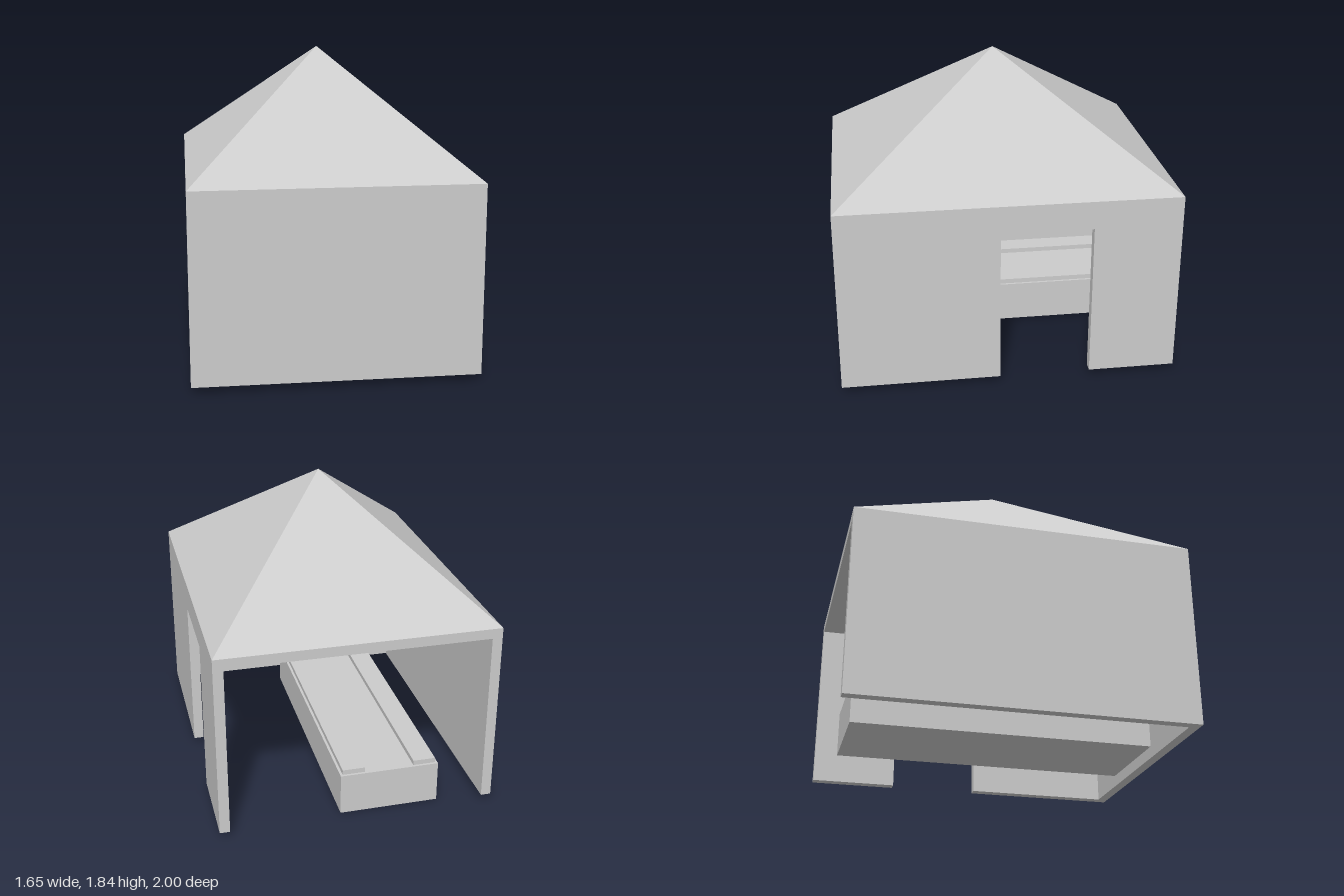
import * as THREE from 'three';

export function createModel() {
  const model = new THREE.Group();
  const material = new THREE.MeshStandardMaterial({ color: 0xcccccc, flatShading: true });

  const add = (name, geometry) => {
    const mesh = new THREE.Mesh(geometry, material);
    mesh.name = name;
    model.add(mesh);
    return mesh;
  };
  // Box given by its minimum and maximum on each axis
  const box = (name, x0, x1, y0, y1, z0, z1) =>
    add(name, new THREE.BoxGeometry(x1 - x0, y1 - y0, z1 - z0))
      .position.set((x0 + x1) / 2, (y0 + y1) / 2, (z0 + z1) / 2);

  const W = 0.825, D = 1, T = 0.06, base = 0.04, eave = 1.15, peak = 1.84;

  // Pyramid roof over a flat ceiling slab
  const roof = new THREE.ConeGeometry(Math.SQRT1_2, peak - eave, 4, 1);
  roof.rotateY(Math.PI / 4);
  roof.scale(2 * W, 1, 2 * D);
  roof.translate(0, (eave + peak) / 2, 0);
  add('roof', roof);
  box('ceiling', -W + T, W - T, eave - T, eave, -D, D - T);

  // Closed front and right walls; the back is open
  box('frontWall', -W, W, base, eave, D - T, D);
  box('rightWall', -W, -W + T, base, eave, -D, D - T);

  // Left wall with a doorway notch, drawn in (-z, y) and extruded along x
  const outline = [
    [-D + T, base], [-0.06, base], [-0.06, 0.98], [0.48, 0.98],
    [0.48, base], [D, base], [D, eave], [-D + T, eave],
  ].map(([u, v]) => new THREE.Vector2(u, v));
  const doorWall = new THREE.ExtrudeGeometry(new THREE.Shape(outline), { depth: T, bevelEnabled: false });
  doorWall.rotateY(Math.PI / 2);
  doorWall.translate(W - T, 0, 0);
  add('doorWall', doorWall);

  // Long low platform with a raised plank along each side
  const cx = -0.21;
  box('platform', cx - 0.3, cx + 0.3, 0, 0.255, -0.92, 0.81);
  for (const s of [-1, 1]) {
    const a = cx + s * 0.15, b = cx + s * 0.285;
    box('sidePlank', Math.min(a, b), Math.max(a, b), 0.255, 0.285, -0.905, 0.795);
  }

  // Slim upright frame on the inside of the front wall
  for (const s of [-1, 1]) {
    const x = cx + s * 0.065;
    box('frameUpright', x - 0.012, x + 0.012, 0.5, 1.07, 0.9, D - T);
  }
  box('frameTop', cx - 0.053, cx + 0.053, 1.045, 1.07, 0.9, D - T);

  return model;
}
